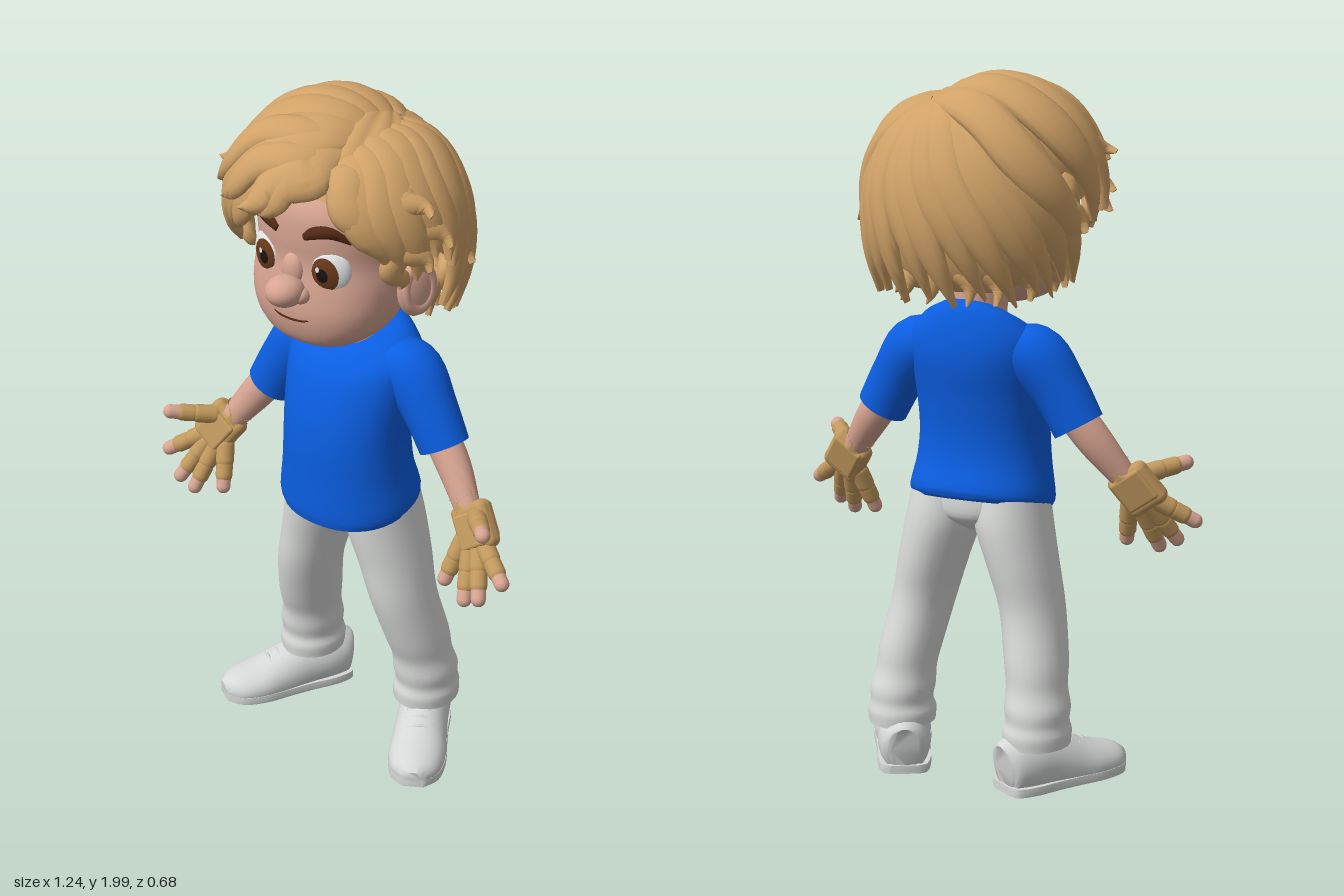
import * as THREE from 'three';
import { toCreasedNormals } from 'three/addons/utils/BufferGeometryUtils.js';
import { RoundedBoxGeometry } from 'three/addons/geometries/RoundedBoxGeometry.js';

const V = (x, y, z) => new THREE.Vector3(x, y, z);
const mat = (name, color, side = THREE.FrontSide) => {
  const m = new THREE.MeshStandardMaterial({ color, side });
  m.name = name;
  return m;
};

// Closed tube through sections [x, y, z, halfWidth, halfDepth, tilt]
function loft(sections, { n = 24, steps = 4, ref = V(0, 0, -1), flat = false, pow = 2, clamp } = {}) {
  const path = new THREE.CatmullRomCurve3(sections.map(s => V(s[0], s[1], s[2])), false, 'catmullrom');
  const size = new THREE.CatmullRomCurve3(sections.map(s => V(s[3], s[4], s[5] || 0)), false, 'catmullrom');
  const rows = (sections.length - 1) * steps, pos = [], idx = [];
  const bend = c => Math.sign(c) * Math.abs(c) ** (2 / pow);
  for (let i = 0; i <= rows; i++) {
    const p = path.getPoint(i / rows), w = size.getPoint(i / rows);
    const t = flat ? V(0, 1, 0) : path.getTangent(i / rows);
    const side = (typeof ref === 'function' ? ref(p) : ref.clone()).cross(t).normalize();
    const up = t.clone().cross(side);
    for (let j = 0; j < n; j++) {
      const a = j / n * Math.PI * 2, c = bend(Math.cos(a)) * w.x, s = bend(Math.sin(a)) * w.y;
      const q = p.clone().addScaledVector(side, c).addScaledVector(up, s);
      q.y += s * w.z;
      if (clamp) q.y = THREE.MathUtils.clamp(q.y, clamp[0], clamp[1]);
      pos.push(q.x, q.y, q.z);
    }
  }
  for (let i = 0; i < rows; i++) for (let j = 0; j < n; j++) {
    const a = i * n + j, b = i * n + (j + 1) % n;
    idx.push(a, b, a + n, b, b + n, a + n);
  }
  for (let j = 1; j < n - 1; j++) idx.push(0, j + 1, j, rows * n, rows * n + j, rows * n + j + 1);
  const g = new THREE.BufferGeometry();
  g.setAttribute('position', new THREE.Float32BufferAttribute(pos, 3));
  g.setIndex(idx);
  return toCreasedNormals(g, 1);
}

// Sections given as [y, halfWidth, zFront, zBack, tilt]
const stack = (rows, opts) => loft(rows.map(([y, a, f, b, k]) => [0, y, (f + b) / 2, a, (f - b) / 2, k]), { flat: true, n: 40, ...opts });

export function createModel() {
  const hair = mat('hair', 0xd0a268, THREE.DoubleSide), skin = mat('skin', 0xd8a592);
  const shirt = mat('shirt blue', 0x0b5ee2), trousers = mat('trouser grey', 0xdadcda);
  const shoeGrey = mat('shoe grey', 0xd6d8d8), glove = mat('glove tan', 0xc39a5e);
  const brown = mat('brow brown', 0x542a16), iris = mat('iris brown', 0x6a3a1c);
  const black = mat('pupil black', 0x1c1210), white = mat('eye white', 0xeef0f0);
  const model = new THREE.Group();
  model.name = 'boy';
  const add = (name, geo, m, parent = model) => {
    const mesh = new THREE.Mesh(geo, m);
    mesh.name = name;
    parent.add(mesh);
    return mesh;
  };
  const blob = (name, m, x, y, z, sx, sy, sz, ry = 0) => {
    const b = add(name, new THREE.SphereGeometry(1, 28, 20), m);
    b.position.set(x, y, z);
    b.scale.set(sx, sy, sz);
    b.rotation.y = ry;
  };
  const capsule = (name, m, p, q, r, parent) => {
    const d = q.clone().sub(p), c = add(name, new THREE.CapsuleGeometry(r, d.length(), 5, 14), m, parent);
    c.position.copy(p).addScaledVector(d, 0.5);
    c.quaternion.setFromUnitVectors(V(0, 1, 0), d.normalize());
  };

  // Shirt body with a neckline dipping in front, hips, neck
  add('shirtBody', stack([[0.79, 0.2, 0.145, -0.18, 0.2], [0.82, 0.209, 0.15, -0.187, 0.17], [0.91, 0.193, 0.15, -0.165, 0.08],
    [1.0, 0.186, 0.15, -0.16], [1.1, 0.19, 0.137, -0.17], [1.2, 0.2, 0.107, -0.187], [1.26, 0.197, 0.077, -0.184, 0.12],
    [1.31, 0.148, 0.05, -0.165, 0.38], [1.328, 0.1, 0.034, -0.14, 0.55]], { pow: 2.2 }), shirt);
  add('hips', stack([[0.715, 0.03, 0.03, -0.09], [0.745, 0.1, 0.075, -0.14], [0.78, 0.17, 0.092, -0.16], [0.87, 0.18, 0.1, -0.155]]), trousers);
  add('neck', stack([[1.265, 0.085, 0.028, -0.12], [1.32, 0.083, 0.026, -0.13], [1.43, 0.088, 0.035, -0.13]]), skin);

  // Head and face
  add('head', stack([[1.343, 0.06, 0.165, 0.03], [1.36, 0.125, 0.205, -0.01], [1.4, 0.178, 0.228, -0.06], [1.46, 0.207, 0.24, -0.1],
    [1.53, 0.215, 0.235, -0.14], [1.6, 0.208, 0.226, -0.17], [1.68, 0.21, 0.233, -0.2], [1.76, 0.2, 0.22, -0.2],
    [1.85, 0.13, 0.14, -0.14]], { pow: 2.4 }), skin);
  blob('noseTip', skin, 0, 1.528, 0.258, 0.052, 0.043, 0.057);
  blob('noseBridge', skin, 0, 1.575, 0.222, 0.034, 0.05, 0.026);
  const smile = new THREE.CatmullRomCurve3([V(-0.07, 1.453, 0.229), V(-0.035, 1.441, 0.237), V(0.035, 1.441, 0.237), V(0.077, 1.455, 0.226)]);
  add('mouth', new THREE.TubeGeometry(smile, 20, 0.003, 8), brown);

  for (const s of [1, -1]) {
    blob('nostril', skin, s * 0.038, 1.518, 0.24, 0.024, 0.023, 0.026);
    // Eye: white ball with iris, pupil and glint as caps on its front
    const eye = new THREE.Group();
    eye.name = s > 0 ? 'leftEye' : 'rightEye';
    eye.position.set(s * 0.107, 1.592, 0.197);
    eye.rotation.y = s * 0.4;
    eye.scale.set(0.054, 0.06, 0.026);
    model.add(eye);
    add('eyeball', new THREE.SphereGeometry(1, 32, 24), white, eye);
    [[iris, 0.86, 1.02, 0, 0], [black, 0.32, 1.04, 0, 0], [white, 0.12, 1.06, -0.25, -0.25]].forEach(([m, angle, r, dx, dy], i) => {
      const cap = add(['iris', 'pupil', 'glint'][i], new THREE.SphereGeometry(r, 28, 8, 0, Math.PI * 2, 0, angle).rotateX(Math.PI / 2), m, eye);
      cap.rotation.set(0.12 + dy, -s * 0.4 + dx, 0, 'YXZ');
    });
    add('eyebrow', loft([[s * 0.045, 1.683, 0.232, 0.01, 0.008], [s * 0.075, 1.7, 0.228, 0.017, 0.01],
      [s * 0.115, 1.704, 0.212, 0.017, 0.01], [s * 0.158, 1.678, 0.179, 0.007, 0.006]], { n: 12 }), brown);
    // Ear with soft raised rim
    blob('ear', skin, s * 0.24, 1.512, 0.01, 0.026, 0.08, 0.056, -s * 0.4);
    const rim = add('earRim', new THREE.TorusGeometry(0.044, 0.014, 12, 28), skin);
    rim.position.set(s * 0.252, 1.52, 0.012);
    rim.scale.set(0.9, 1.4, 0.9);
    rim.rotation.y = s * (Math.PI / 2 - 0.4);

    // Sleeve and arm
    add('sleeve', loft([[s * 0.12, 1.24, -0.06, 0.07, 0.085], [s * 0.185, 1.213, -0.058, 0.09, 0.087],
      [s * 0.25, 1.13, -0.05, 0.079, 0.075], [s * 0.305, 1.033, -0.045, 0.075, 0.067]]), shirt);
    add('forearm', loft([[s * 0.28, 1.08, -0.045, 0.052, 0.048], [s * 0.35, 0.99, -0.03, 0.05, 0.045],
      [s * 0.42, 0.895, 0, 0.038, 0.034]]), skin);

    // Gloved hand with bare fingertips
    const hand = new THREE.Group();
    hand.name = s > 0 ? 'leftHand' : 'rightHand';
    model.add(hand);
    add('cuff', loft([[s * 0.4, 0.924, -0.008, 0.045, 0.039], [s * 0.42, 0.895, 0, 0.045, 0.039]], { steps: 1 }), glove, hand);
    for (const [name, w, h, d, dz] of [['palm', 0.125, 0.135, 0.056, 0], ['palmPad', 0.09, 0.1, 0.02, 0.028], ['backPlate', 0.1, 0.1, 0.02, -0.028]]) {
      const p = add(name, new RoundedBoxGeometry(w, h, d, 4, Math.min(d * 0.45, 0.022)), glove, hand);
      p.position.set(s * 0.457, 0.86, 0.015 + dz);
      p.rotation.set(-0.25, s * -0.15, s * 0.6);
    }
    const fingers = { thumb: [[0.47, 0.9, 0.03], [0.555, 0.922, 0.125]], index: [[0.5, 0.83, 0.035], [0.598, 0.768, 0.09]],
      middle: [[0.487, 0.812, 0.04], [0.538, 0.705, 0.11]], ring: [[0.46, 0.8, 0.04], [0.488, 0.682, 0.105]],
      little: [[0.428, 0.81, 0.03], [0.402, 0.7, 0.075]] };
    for (const [name, [a, b]] of Object.entries(fingers)) {
      const p = V(s * a[0], a[1], a[2]), q = V(s * b[0], b[1], b[2]);
      const at = t => p.clone().lerp(q, t);
      capsule(name + 'Base', glove, at(0), at(0.36), 0.027, hand);
      capsule(name + 'Middle', glove, at(0.5), at(0.72), 0.025, hand);
      capsule(name + 'Tip', skin, at(0.7), at(1), 0.021, hand);
    }

    // Trouser leg with folds above the cuff
    add('trouserLeg', loft([[s * 0.215, 0.13, -0.11, 0.094, 0.104], [s * 0.215, 0.165, -0.11, 0.096, 0.106], [s * 0.216, 0.195, -0.11, 0.088, 0.099],
      [s * 0.214, 0.235, -0.106, 0.092, 0.102], [s * 0.207, 0.29, -0.096, 0.085, 0.096], [s * 0.198, 0.36, -0.08, 0.088, 0.105],
      [s * 0.17, 0.5, -0.048, 0.09, 0.111], [s * 0.14, 0.62, -0.046, 0.098, 0.122], [s * 0.108, 0.74, -0.04, 0.107, 0.131],
      [s * 0.097, 0.84, -0.03, 0.1, 0.125]], { flat: true }), trousers);

    // Shoe, sole and laces
    const shoe = new THREE.Group();
    shoe.name = s > 0 ? 'leftShoe' : 'rightShoe';
    shoe.position.set(s * 0.205, 0, -0.12);
    shoe.rotation.y = s * 0.52;
    model.add(shoe);
    const last = [[0, 0.07, -0.1, 0.04, 0.065], [0, 0.072, -0.085, 0.064, 0.08], [0, 0.075, -0.03, 0.076, 0.088], [0, 0.065, 0.05, 0.076, 0.088],
      [0, 0.045, 0.13, 0.08, 0.078], [0, 0.035, 0.2, 0.084, 0.062], [0, 0.03, 0.27, 0.07, 0.047], [0, 0.025, 0.31, 0.03, 0.028]];
    const along = { ref: V(0, 1, 0), n: 28 };
    add('shoeUpper', loft(last, { ...along, clamp: [0.01, 1] }), shoeGrey, shoe);
    add('sole', loft(last.map(([x, y, z, a]) => [x, 0.012, z, a * 1.02, 0.05]), { ...along, pow: 2.6, clamp: [0, 0.025] }), shoeGrey, shoe);
    for (const [z, y] of [[0.075, 0.147], [0.105, 0.137], [0.135, 0.123], [0.165, 0.111]]) {
      const lace = new THREE.CatmullRomCurve3([V(-0.042, y - 0.014, z), V(0, y, z), V(0.042, y - 0.014, z)]);
      add('lace', new THREE.TubeGeometry(lace, 10, 0.005, 8), shoeGrey, shoe);
    }
  }

  // Hair: grooved cap and nape under fans of overlapping wavy locks
  const C = V(0, 1.68, -0.015), R = V(0.285, 0.275, 0.278);
  const cap = new THREE.SphereGeometry(1, 120, 30, 0, Math.PI * 2, 0, Math.PI * 0.55);
  const cp = cap.attributes.position;
  for (let i = 0; i < cp.count; i++) {
    const v = V(0, 0, 0).fromBufferAttribute(cp, i);
    v.multiplyScalar(0.99 + 0.03 * Math.abs(Math.sin(Math.atan2(v.z, v.x) * 12)) * Math.hypot(v.x, v.z));
    v.applyAxisAngle(V(1, 0, 0), -0.61).multiply(R).add(C);
    cp.setXYZ(i, v.x, v.y, v.z);
  }
  cap.computeVertexNormals();
  add('hairCap', cap, hair);
  add('napeHair', stack([[1.41, 0.15, -0.09, -0.23], [1.47, 0.21, -0.06, -0.268], [1.58, 0.25, -0.05, -0.29], [1.72, 0.26, -0.04, -0.285]]), hair);

  // One lock swept over the scalp from a to b: root sunk in, tip pointed
  const lock = (a, b, w, lift = 0.03, d = 0.03, wave = 0.014) => {
    const qa = a.clone().sub(C).divide(R), qb = b.clone().sub(C).divide(R), la = qa.length(), lb = qb.length();
    const turn = new THREE.Quaternion().setFromUnitVectors(qa.clone().normalize(), qb.clone().normalize());
    const across = qa.clone().cross(qb).normalize();
    const width = [0.5, 0.85, 1, 1, 1, 0.95, 0.8, 0.5, 0.06], last = width.length - 1;
    const sec = width.map((k, i) => {
      const t = i / last, p = qa.clone().normalize().applyQuaternion(new THREE.Quaternion().slerp(turn, t));
      p.multiplyScalar(1 + (la - 1) * (1 - t) ** 4 + (lb - 1) * t ** 3 + lift * Math.sin(Math.PI * t));
      p.multiply(R).add(C).addScaledVector(across, wave * Math.sin(t * 9) * Math.sin(Math.PI * t / 1.3));
      return [p.x, p.y, p.z, w * k, d * (0.3 + 0.7 * k)];
    });
    add('hairLock', loft(sec, { n: 14, steps: 3, ref: p => p.clone().sub(C) }), hair);
  };
  const curve = pts => new THREE.CatmullRomCurve3(pts.map(p => V(...p)));
  const fan = (n, starts, ends, w, lift) => {
    const A = curve(starts), B = curve(ends);
    for (let i = 0; i < n; i++) {
      const b = B.getPoint(i / (n - 1));
      b.y += (i % 2) * 0.02;
      lock(A.getPoint(i / (n - 1)), b, w * (1 + 0.12 * Math.sin(i * 2.3)), lift + 0.015 * Math.sin(i * 1.7));
    }
  };
  // Back of the head, then each side of the parting
  fan(14, [[0.07, 1.9, -0.08], [0.09, 1.9, -0.11], [0.11, 1.9, -0.08]],
    [[-0.28, 1.43, -0.05], [-0.23, 1.385, -0.18], [0, 1.375, -0.27], [0.23, 1.385, -0.18], [0.28, 1.43, -0.05]], 0.056, 0);
  fan(9, [[0.085, 1.9, -0.12], [0.085, 1.905, 0.03], [0.08, 1.86, 0.17]],
    [[-0.3, 1.5, -0.07], [-0.34, 1.62, 0.03], [-0.26, 1.56, 0.12], [-0.2, 1.65, 0.21], [-0.06, 1.75, 0.3]], 0.064, 0.09);
  fan(8, [[0.095, 1.9, -0.12], [0.1, 1.905, 0.02], [0.1, 1.86, 0.17]],
    [[0.3, 1.5, -0.07], [0.34, 1.63, 0.03], [0.27, 1.57, 0.11], [0.22, 1.68, 0.18]], 0.058, 0.045);
  // Swept fringe
  lock(V(0.08, 1.86, 0.2), V(-0.1, 1.76, 0.32), 0.05, 0.1);
  lock(V(0.06, 1.88, 0.15), V(-0.21, 1.74, 0.25), 0.05, 0.14);
  lock(V(0.06, 1.9, 0.08), V(-0.29, 1.74, 0.17), 0.05, 0.12);
  // Side flicks and nape curls, each [root, tip]
  const flicks = [[0.24, 1.84, 0.08, 0.345, 1.77, 0.1], [0.27, 1.77, 0.04, 0.365, 1.67, 0.04], [0.27, 1.72, 0.1, 0.335, 1.61, 0.09],
    [0.27, 1.72, -0.1, 0.34, 1.57, -0.1], [0.24, 1.6, -0.12, 0.28, 1.42, -0.1], [0.22, 1.56, -0.1, 0.23, 1.4, -0.06], [0.23, 1.7, 0.12, 0.235, 1.54, 0.09],
    [0.2, 1.52, -0.17, 0.2, 1.385, -0.15], [0.13, 1.52, -0.23, 0.14, 1.38, -0.24], [0.05, 1.52, -0.26, 0.06, 1.375, -0.25]];
  for (const s of [1, -1]) for (const [x, y, z, X, Y, Z] of flicks) lock(V(s * x, y, z), V(s * X, Y, Z), 0.032, 0.05, 0.024, 0.02);
  return model;
}
